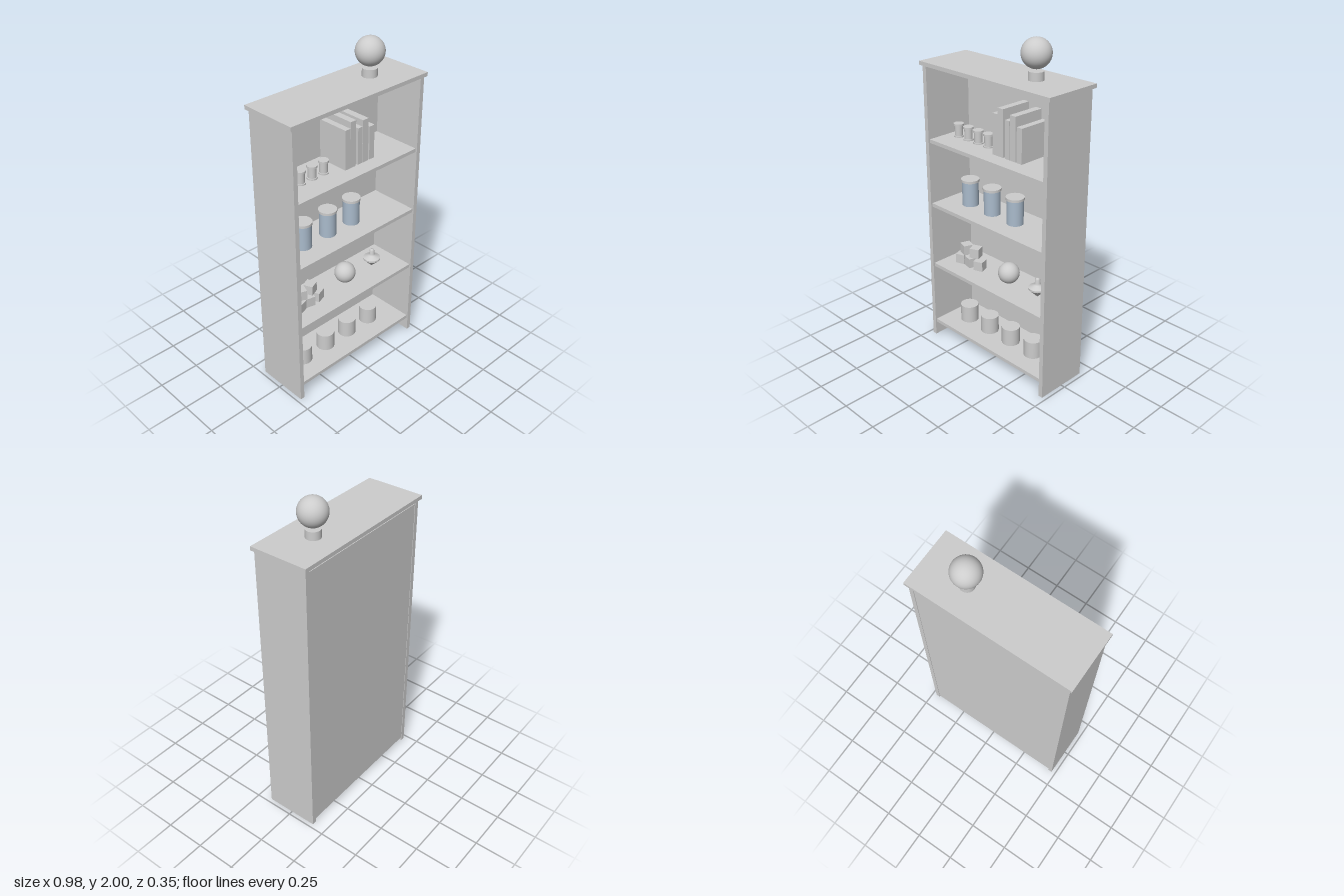
import * as THREE from 'three';

export function createModel() {
  const model = new THREE.Group();
  model.name = 'shelvingUnit';

  const grey = new THREE.MeshStandardMaterial({ color: 0xcccccc });
  grey.name = 'light grey';
  const blue = new THREE.MeshStandardMaterial({ color: 0xaabbcc });
  blue.name = 'pale blue';

  const add = (name, geometry, x, y, z, material = grey) => {
    const mesh = new THREE.Mesh(geometry, material);
    mesh.name = name;
    mesh.position.set(x, y, z);
    model.add(mesh);
    return mesh;
  };
  // Box given by its lower and upper limits on each axis
  const box = (name, [x0, x1], [y0, y1], [z0, z1]) =>
    add(name, new THREE.BoxGeometry(x1 - x0, y1 - y0, z1 - z0),
      (x0 + x1) / 2, (y0 + y1) / 2, (z0 + z1) / 2);
  // Upright cylinder standing on y
  const can = (name, r, h, x, y, z = 0, material = grey) =>
    add(name, new THREE.CylinderGeometry(r, r, h, 32), x, y + h / 2, z, material);
  const lathe = (points) =>
    new THREE.LatheGeometry(points.map(([r, y]) => new THREE.Vector2(r, y)), 32);

  // Cabinet
  box('topBoard', [-0.49, 0.49], [1.755, 1.778], [-0.176, 0.176]);
  box('rightSide', [-0.475, -0.448], [0, 1.752], [-0.163, 0.165]);
  box('leftSide', [0.448, 0.475], [0, 1.752], [-0.163, 0.165]);
  box('backPanel', [-0.448, 0.448], [0.024, 1.736], [-0.16, -0.15]);
  const shelfTops = [0.108, 0.917 - 0.404, 0.917, 1.321];
  shelfTops.forEach((y) => box('shelf', [-0.448, 0.448], [y - 0.022, y], [-0.15, 0.156]));
  const [low, second, third, upper] = shelfTops;

  // Globe on the top board
  can('globeStand', 0.043, 0.048, 0.228, 1.778, -0.007);
  add('globe', new THREE.SphereGeometry(0.082, 40, 24), 0.228, 1.918, -0.007);

  // Tins on the bottom shelf
  [-0.307, -0.123, 0.06, 0.245].forEach((x) => can('tin', 0.055, 0.108, x, low));

  // Toy blocks in two layers: x, layer, z, turn
  const size = 0.06;
  [
    [-0.342, 0, 0.02, 0.3], [-0.267, 0, 0.015, -0.25], [-0.195, 0, 0.01, 0.35],
    [-0.317, 1, 0.005, -0.35], [-0.24, 1, 0, 0.4],
  ].forEach(([x, layer, z, turn]) => {
    const block = add('toyBlock', new THREE.BoxGeometry(size, size, size),
      x, second + size / 2 + layer * 0.066, z);
    block.rotation.y = turn;
  });

  // Ball and spinning top
  add('ball', new THREE.SphereGeometry(0.064, 32, 20), 0.042, second + 0.064, 0);
  add('spinningTop', lathe([
    [0, 0], [0.052, 0.052], [0.052, 0.052], [0.052, 0.063], [0.052, 0.063],
    [0.02, 0.078], [0.016, 0.09], [0.015, 0.112], [0.01, 0.12], [0, 0.122],
  ]), 0.272, second, 0);

  // Jars with lids
  [-0.28, -0.095, 0.09].forEach((x) => {
    can('jar', 0.049, 0.15, x, third, 0, blue);
    can('jarLid', 0.054, 0.015, x, third + 0.149);
  });

  // Spool-shaped spice pots
  [-0.37, -0.288, -0.205, -0.122].forEach((x) => {
    can('potFoot', 0.03, 0.008, x, upper);
    can('potBody', 0.024, 0.062, x, upper + 0.007);
    can('potLid', 0.03, 0.012, x, upper + 0.068);
  });

  // Row of books: left edge, right edge, top
  [
    [-0.021, 0.016, 1.56], [0.018, 0.058, 1.597], [0.074, 0.106, 1.542],
    [0.11, 0.153, 1.578], [0.162, 0.2, 1.523],
  ].forEach(([x0, x1, top]) => box('book', [x0, x1], [upper, top], [-0.135, 0.065]));

  return model;
}
